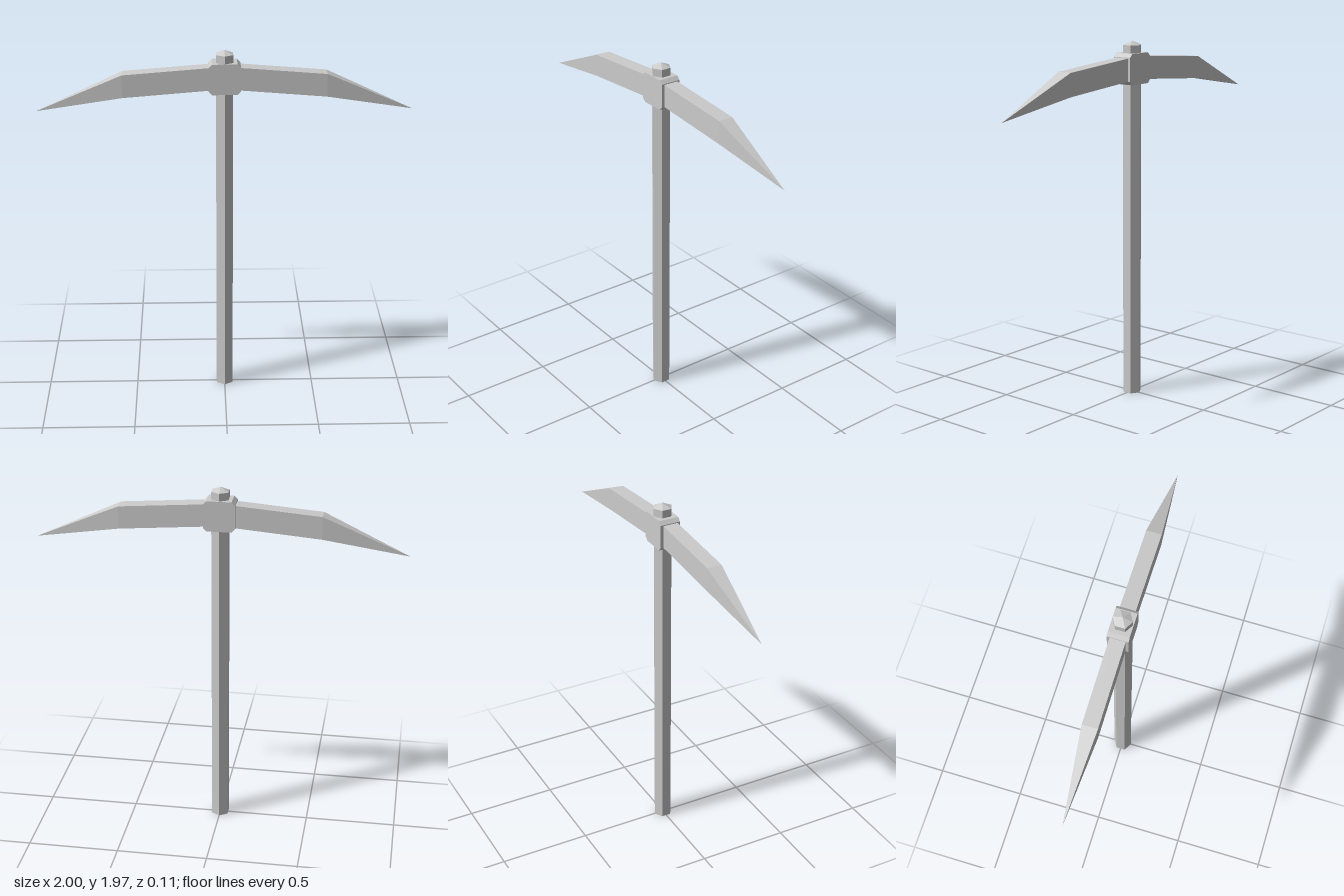
import * as THREE from 'three';

const material = new THREE.MeshStandardMaterial({ color: 0xcccccc, flatShading: true });

function addMesh(parent, name, geometry) {
  const mesh = new THREE.Mesh(geometry, material);
  mesh.name = name;
  parent.add(mesh);
  return mesh;
}

// Blade running along +x: rectangular sections closing to a point
function bladeGeometry() {
  const sections = [
    { x: 0.07, top: 1.884, bottom: 1.761, half: 0.041 },
    { x: 0.54, top: 1.847, bottom: 1.723, half: 0.041 },
    { x: 1.0, top: 1.641, bottom: 1.641, half: 0 },
  ];
  const geometry = new THREE.BoxGeometry(2, 2, 2, 2, 1, 1);
  const pos = geometry.attributes.position;
  for (let i = 0; i < pos.count; i++) {
    const s = sections[Math.round(pos.getX(i)) + 1];
    pos.setXYZ(i, s.x, pos.getY(i) > 0 ? s.top : s.bottom, Math.sign(pos.getZ(i)) * s.half);
  }
  geometry.computeVertexNormals();
  return geometry;
}

// Collar: block with its four front-profile corners chamfered
function collarGeometry() {
  const w = 0.085, h = 0.083, c = 0.019, depth = 0.112;
  const shape = new THREE.Shape([
    [w, -h + c], [w, h - c], [w - c, h], [c - w, h],
    [-w, h - c], [-w, c - h], [c - w, -h], [w - c, -h],
  ].map(([x, y]) => new THREE.Vector2(x, y)));
  return new THREE.ExtrudeGeometry(shape, { depth, bevelEnabled: false })
    .translate(0, 1.823, -depth / 2);
}

export function createModel() {
  const group = new THREE.Group();
  group.name = 'pickaxe';

  // Six-sided handle with a shallow pointed top
  const radius = 0.052, shoulder = 1.948, peak = 1.97;
  addMesh(group, 'handle', new THREE.CylinderGeometry(radius, radius, shoulder, 6, 1)
    .translate(0, shoulder / 2, 0));
  addMesh(group, 'handleTip', new THREE.ConeGeometry(radius, peak - shoulder, 6, 1, true)
    .translate(0, (peak + shoulder) / 2, 0));

  // Head
  addMesh(group, 'collar', collarGeometry());
  const blade = bladeGeometry();
  addMesh(group, 'leftBlade', blade);
  addMesh(group, 'rightBlade', blade).rotation.y = Math.PI;

  return group;
}
